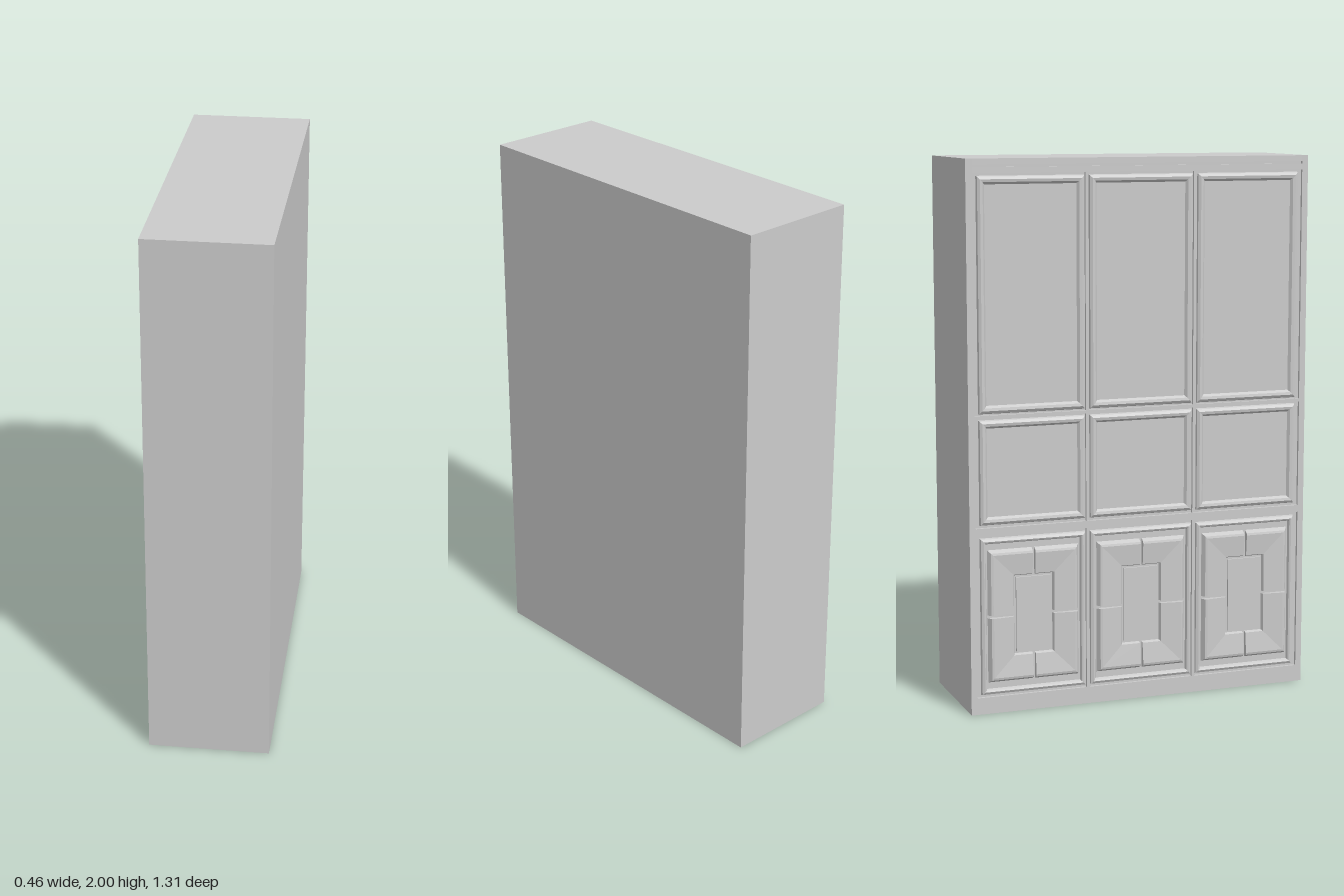
import * as THREE from 'three';

const FACE = 0.217;   // decorated face lies at x = -FACE
const BACK = 0.207;   // depth of the recessed carcass face

export function createModel() {
  const model = new THREE.Group();
  const mat = new THREE.MeshStandardMaterial({ color: 0xcccccc, flatShading: true });

  const add = (name, geometry) => {
    const mesh = new THREE.Mesh(geometry, mat);
    mesh.name = name;
    model.add(mesh);
    return mesh;
  };

  // Box given by its extents; "out" values are measured towards -x
  const slab = (name, out, inner, y0, y1, z0, z1) => {
    const mesh = add(name, new THREE.BoxGeometry(out - inner, y1 - y0, z1 - z0));
    mesh.position.set(-(out + inner) / 2, (y0 + y1) / 2, (z0 + z1) / 2);
  };

  // Surface through rows of [out, y, z] points
  const loft = (name, rows, closed) => {
    const pos = [];
    const n = rows[0].length;
    for (let k = 0; k < rows.length - 1; k++) {
      for (let i = 0; i < (closed ? n : n - 1); i++) {
        const j = (i + 1) % n;
        const [a, b, c, d] = [rows[k][i], rows[k][j], rows[k + 1][j], rows[k + 1][i]];
        for (const p of [a, b, c, a, c, d]) pos.push(-p[0], p[1], p[2]);
      }
    }
    const geometry = new THREE.BufferGeometry();
    geometry.setAttribute('position', new THREE.Float32BufferAttribute(pos, 3));
    geometry.computeVertexNormals();
    add(name, geometry);
  };

  // Rectangular moulding from a profile of [inset, out]
  const moulding = (name, cy, cz, h, w, profile) => {
    const rows = profile.map(([inset, out]) =>
      [[-1, -1], [-1, 1], [1, 1], [1, -1]].map(([sy, sz]) =>
        [out, cy + sy * (h / 2 - inset), cz + sz * (w / 2 - inset)]));
    loft(name, rows, true);
  };

  // Mitred corner block, one quarter of the lower door ornament
  const cornerBlock = (cy, cz, h, w, sy, sz, profile) => {
    const gap = 0.005;
    const rows = profile.map(([inset, out]) => {
      const y = h / 2 - inset, z = w / 2 - inset;
      const path = [[BACK, gap, z], [out, gap, z], [out, y, z], [out, y, gap], [BACK, y, gap]]
        .map(([o, py, pz]) => [o, cy + sy * py, cz + sz * pz]);
      return sy * sz > 0 ? path : path.reverse();
    });
    loft('cornerBlock', rows, false);
  };

  // Carcass
  slab('carcass', BACK, -0.228, 0, 2, -0.655, 0.655);

  // Face frame: stiles, top rails, plinth
  for (const s of [-1, 1]) {
    slab('sideStile', FACE, BACK, 0, 2, Math.min(s * 0.655, s * 0.632), Math.max(s * 0.655, s * 0.632));
    slab('divider', FACE, BACK, 0.06, 1.95, s * 0.208 - 0.006, s * 0.208 + 0.006);
  }
  slab('topRail', FACE, BACK, 1.978, 2, -0.632, 0.632);
  slab('lowerTopRail', FACE, BACK, 1.948, 1.97, -0.632, 0.632);
  slab('plinth', FACE, BACK, 0, 0.062, -0.632, 0.632);
  slab('middleRail', FACE, BACK, 1.083, 1.095, -0.632, 0.632);
  slab('waistRail', FACE + 0.002, BACK, 0.662, 0.688, -0.632, 0.632);

  const frame = [[0, BACK], [0.003, 0.217], [0.012, 0.223], [0.022, 0.221], [0.03, 0.211]];
  const doorFrame = [[0, BACK], [0.003, 0.217], [0.012, 0.222], [0.018, 0.219], [0.022, 0.209]];
  const flat = (h, w) => [[h, w]];
  const rowsOfPanels = [
    { name: 'upperPanelFrame', y0: 1.1, y1: 1.94 },
    { name: 'middlePanelFrame', y0: 0.697, y1: 1.078 },
  ];

  for (const cz of [-0.416, 0, 0.416]) {
    const w = 0.4;

    // Plain framed panels
    for (const { name, y0, y1 } of rowsOfPanels) {
      moulding(name, (y0 + y1) / 2, cz, y1 - y0, w, frame);
      slab('panel', 0.211, BACK, y0 + 0.03, y1 - 0.03, cz - w / 2 + 0.03, cz + w / 2 - 0.03);
    }

    // Lower door with four sloping corner blocks around a centre field
    const cy = 0.36;
    moulding('lowerDoorFrame', cy, cz, 0.58, w, doorFrame);
    for (const sy of [-1, 1]) {
      const top = sy < 0 ? 0.228 : 0.225;
      const profile = [[0, BACK], [0.01, top - 0.002], [0.018, top], [0.095, 0.219], [0.1, BACK]];
      for (const sz of [-1, 1]) cornerBlock(cy, cz, 0.49, 0.345, sy, sz, profile);
    }
    slab('doorCentre', 0.214, BACK, cy - 0.138, cy + 0.138, cz - 0.066, cz + 0.066);
  }

  return model;
}
